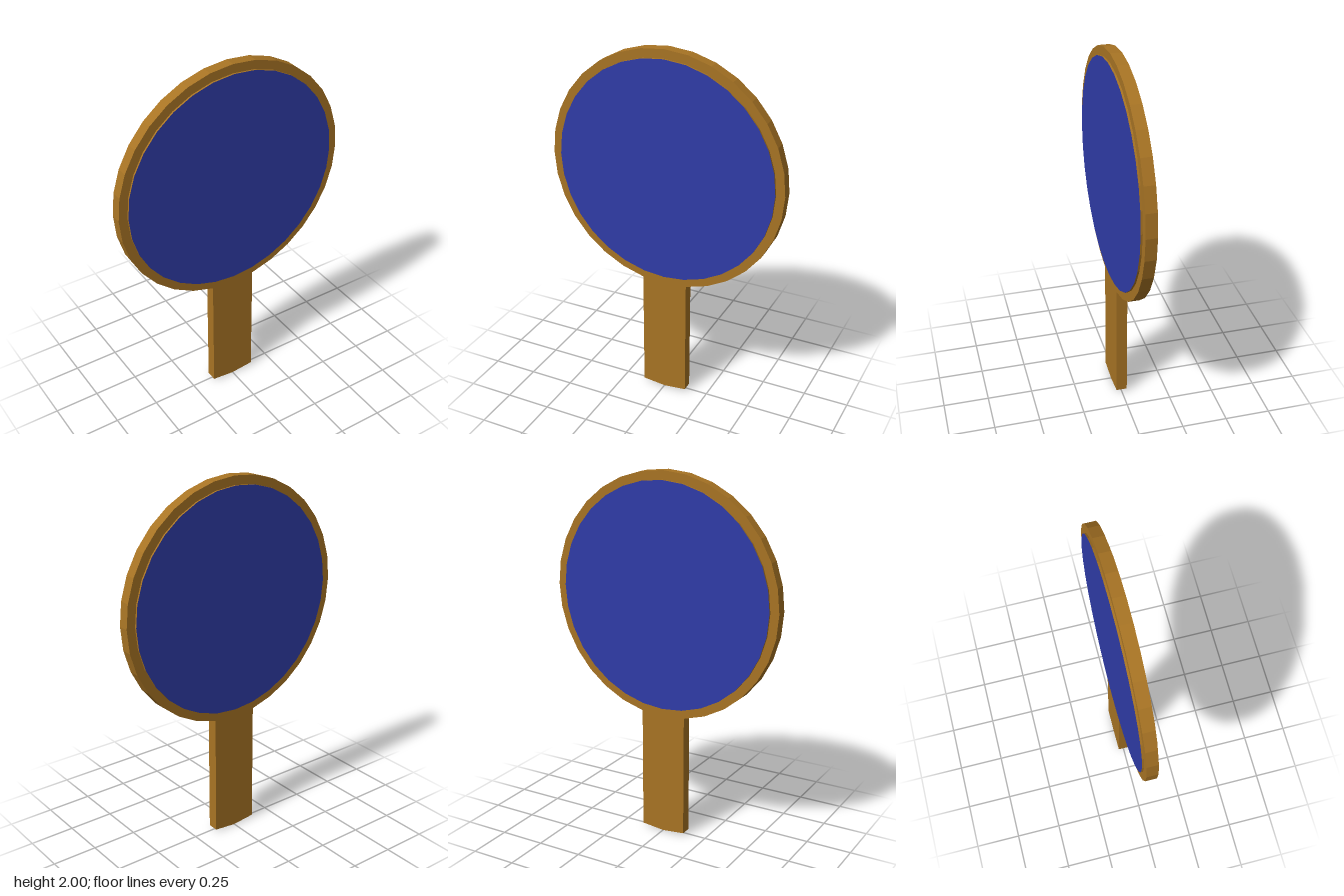
import * as THREE from 'three';

const SIDES = 32, RADIUS = 0.66, CENTER_Y = 1.34;

export function createModel() {
  const wood = new THREE.MeshStandardMaterial({ color: 0xa87424, flatShading: true });
  wood.name = 'wood';
  const blue = new THREE.MeshStandardMaterial({ color: 0x303ca8, flatShading: true });
  blue.name = 'blue';
  const model = new THREE.Group();
  model.name = 'paddle';

  // Frame and handle share one outline: a round polygon whose bottom two edges are drawn down
  const outline = [];
  for (let i = 1; i < SIDES; i++) {
    const a = -Math.PI / 2 + (i / SIDES) * Math.PI * 2;
    outline.push(new THREE.Vector2(RADIUS * Math.cos(a), CENTER_Y + RADIUS * Math.sin(a)));
  }
  const halfWidth = outline[0].x;
  outline.push(
    new THREE.Vector2(-halfWidth, 0.013),
    new THREE.Vector2(0, 0),
    new THREE.Vector2(halfWidth, 0.013)
  );
  const body = new THREE.ExtrudeGeometry(new THREE.Shape(outline), { depth: 0.06, bevelEnabled: false });
  body.translate(0, 0, -0.03);
  const frame = new THREE.Mesh(body, wood);
  frame.name = 'frameAndHandle';
  model.add(frame);

  // Raised disc with a wooden rim and a blue face on both sides
  const disc = new THREE.CylinderGeometry(0.612, 0.612, 0.08, SIDES);
  disc.rotateX(Math.PI / 2);
  const face = new THREE.Mesh(disc, [wood, blue, blue]);
  face.name = 'disc';
  face.position.y = CENTER_Y;
  model.add(face);

  return model;
}
